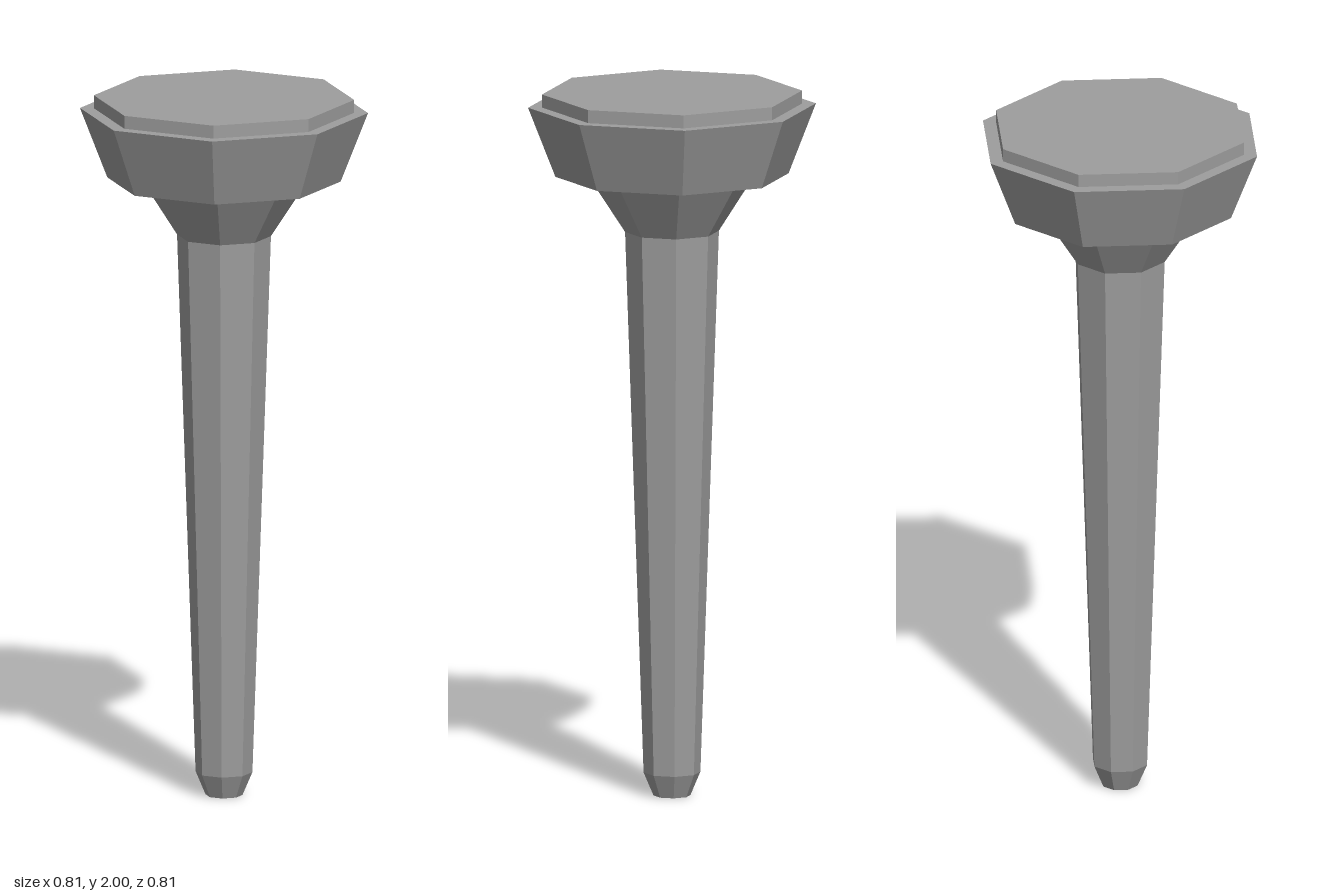
import * as THREE from 'three';

const SIDES = 8;

export function createModel() {
  const group = new THREE.Group();
  const material = new THREE.MeshStandardMaterial({ color: 0x9d9d9d, flatShading: true });

  // Eight-sided solid of revolution from [radius, height] pairs, bottom to top
  const addTurned = (name, profile) => {
    const points = profile.map(([r, y]) => new THREE.Vector2(r, y));
    const mesh = new THREE.Mesh(new THREE.LatheGeometry(points, SIDES), material);
    mesh.name = name;
    group.add(mesh);
  };

  // Tapered shaft with a blunt tip, flaring into a collar under the head
  addTurned('shaft', [[0, 0], [0.052, 0], [0.08, 0.066], [0.132, 1.605], [0.235, 1.765]]);

  // Head widening upwards, with a flat ledge and a raised cap
  addTurned('head', [[0.235, 1.765], [0.328, 1.765], [0.405, 1.963], [0.366, 1.963]]);
  addTurned('cap', [[0.366, 1.963], [0.366, 2], [0, 2]]);

  return group;
}
